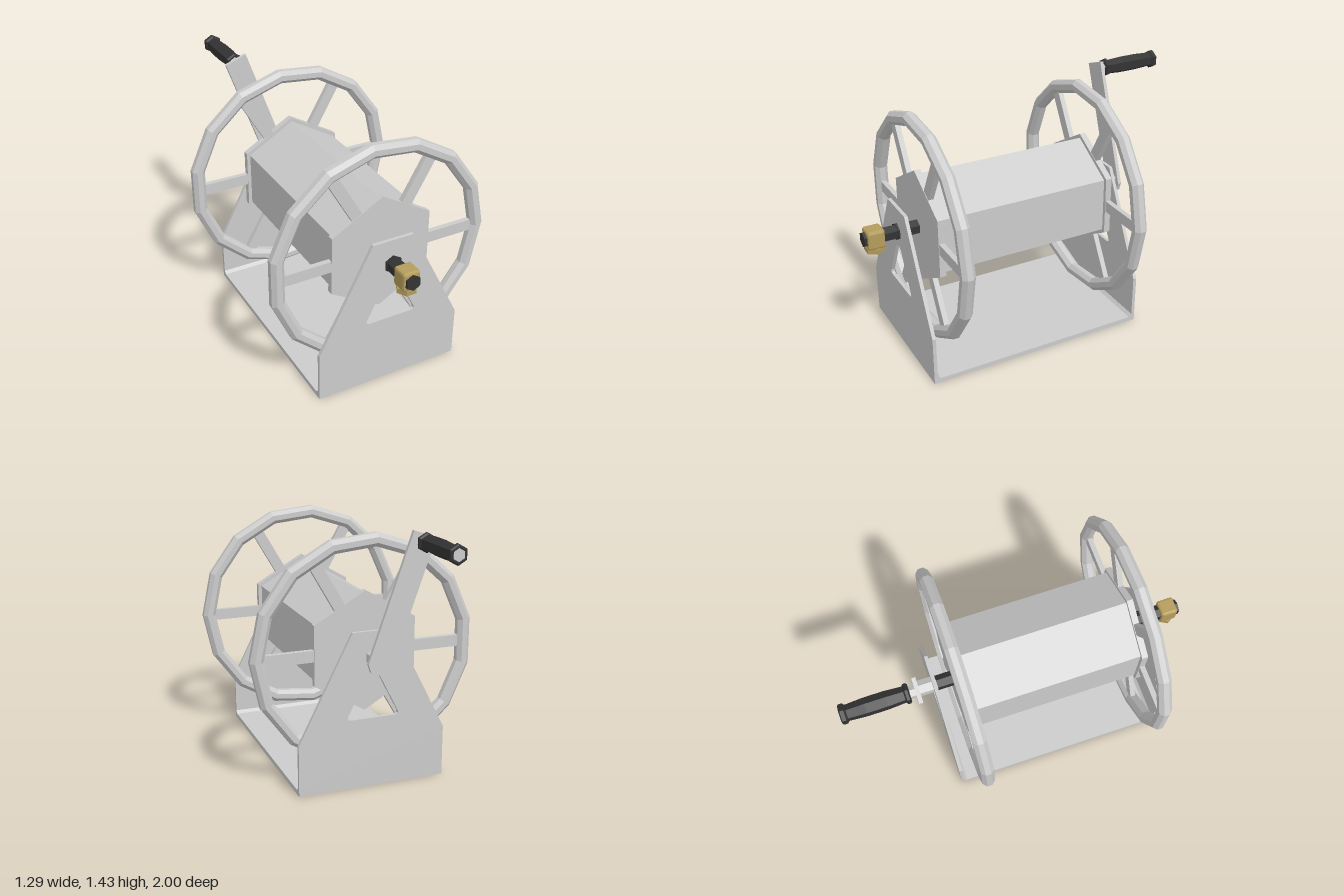
import * as THREE from 'three';
import { RoundedBoxGeometry } from 'three/addons/geometries/RoundedBoxGeometry.js';

const AXLE_Y = 0.745;
const material = (color) => new THREE.MeshStandardMaterial({ color, flatShading: true });
const grey = material(0xcccccc);
const dark = material(0x333333);
const brass = material(0xb59d5c);

function add(parent, name, geometry, mat = grey, x = 0, y = 0, z = 0) {
  const mesh = new THREE.Mesh(geometry, mat);
  mesh.name = name;
  mesh.position.set(x, y, z);
  parent.add(mesh);
  return mesh;
}

const shapeOf = (points) => new THREE.Shape(points.map(([x, y]) => new THREE.Vector2(x, y)));
const extrude = (shape, depth) => new THREE.ExtrudeGeometry(shape, { depth, bevelEnabled: false });

// Six-sided bar along z, one corner pointing up
function hexBar(parent, name, radius, z0, z1, mat = grey, x = 0, y = 0) {
  const geometry = new THREE.CylinderGeometry(radius, radius, z1 - z0, 6).rotateX(Math.PI / 2);
  return add(parent, name, geometry, mat, x, y, (z0 + z1) / 2);
}

// Rim with a chamfered section, hexagonal hub plate and six flat spokes
function createWheel(name, z) {
  const wheel = new THREE.Group();
  wheel.name = name;
  wheel.position.z = z;
  const section = [];
  for (let i = 0; i <= 8; i++) {
    const a = -(i + 0.5) * Math.PI / 4;
    section.push(new THREE.Vector2(0.613 + 0.041 * Math.cos(a), -0.041 * Math.sin(a)));
  }
  section.reverse();
  const rim = new THREE.LatheGeometry(section, 15, Math.PI / 2).rotateX(Math.PI / 2);
  const rimMaterial = grey.clone();
  rimMaterial.side = THREE.DoubleSide;
  add(wheel, 'rim', rim, rimMaterial);
  hexBar(wheel, 'hubPlate', 0.34, -0.018, 0.018);
  for (let i = 0; i < 6; i++) {
    const spoke = new THREE.BoxGeometry(0.3, 0.065, 0.03).translate(0.435, 0, 0);
    add(wheel, 'spoke', spoke).rotation.z = i * Math.PI / 3;
  }
  return wheel;
}

function createFrame() {
  const frame = new THREE.Group();
  frame.name = 'frame';
  // Floor with turned-up edges and chamfered inner corners
  const floor = shapeOf([
    [-0.505, 0], [0.8, 0], [0.8, 0.045], [0.78, 0.045],
    [0.763, 0.027], [-0.468, 0.027], [-0.485, 0.045], [-0.505, 0.045],
  ]);
  add(frame, 'floor', extrude(floor, 0.856).rotateY(-Math.PI / 2).translate(0.428, 0, 0));
  // Tapered end plates with a triangular window
  const plate = shapeOf([
    [-0.428, 0.045], [0.428, 0.045], [0.428, 0.29], [0.121, 0.89], [-0.121, 0.89], [-0.428, 0.29],
  ]);
  plate.holes.push(shapeOf([
    [-0.133, 0.4], [-0.147, 0.407], [-0.147, 0.422], [-0.035, 0.64], [-0.018, 0.655], [0, 0.66],
    [0.018, 0.655], [0.035, 0.64], [0.147, 0.422], [0.147, 0.407], [0.133, 0.4],
  ]));
  add(frame, 'frontPlate', extrude(plate, 0.02), grey, 0, 0, 0.78);
  add(frame, 'backPlate', extrude(plate, 0.02), grey, 0, 0, -0.505);
  return frame;
}

function createCrank() {
  const crank = new THREE.Group();
  crank.name = 'crank';
  hexBar(crank, 'crankShaft', 0.047, -0.6, -0.48);
  const arm = shapeOf([
    [-0.035, -0.07], [0.035, -0.07], [0.067, -0.03], [0.067, 0.705], [-0.067, 0.705], [-0.067, -0.03],
  ]);
  add(crank, 'crankArm', extrude(arm, 0.021), grey, 0, 0, -0.608).rotation.z = 0.342;
  // Grip: flanged, slightly swollen six-sided handle on a spindle
  const gx = -0.223, gy = 0.628;
  hexBar(crank, 'gripSpindle', 0.034, -0.65, -0.6, grey, gx, gy);
  const profile = [
    [0, 0], [0.045, 0], [0.054, 0.008], [0.054, 0.022], [0.043, 0.03], [0.049, 0.12],
    [0.049, 0.23], [0.043, 0.325], [0.054, 0.335], [0.054, 0.355], [0.047, 0.361], [0, 0.361],
  ].map(([r, h]) => new THREE.Vector2(r, h));
  const grip = new THREE.LatheGeometry(profile, 6).rotateX(-Math.PI / 2);
  add(crank, 'grip', grip, dark, gx, gy, -0.637);
  hexBar(crank, 'gripEndBolt', 0.034, -1, -0.98, grey, gx, gy);
  return crank;
}

export function createModel() {
  const model = new THREE.Group();
  model.name = 'hoseReel';
  model.position.x = -0.008;
  model.add(createFrame());

  // Everything that turns about the axle
  const reel = new THREE.Group();
  reel.name = 'reel';
  reel.position.y = AXLE_Y;
  model.add(reel);
  hexBar(reel, 'drum', 0.316, -0.37, 0.665);
  reel.add(createWheel('frontWheel', 0.665), createWheel('backWheel', -0.37));
  hexBar(reel, 'axle', 0.044, -0.49, 1, dark);
  hexBar(reel, 'axleCollar', 0.051, 0.795, 0.812, dark);
  reel.add(createCrank());

  // Brass inlet: chamfered block with a hexagonal nut beneath
  const inlet = new THREE.Group();
  inlet.name = 'inlet';
  inlet.position.set(0, AXLE_Y, 0.935);
  reel.parent.add(inlet);
  add(inlet, 'inletBlock', new RoundedBoxGeometry(0.1, 0.11, 0.1, 1, 0.014), brass);
  const nut = new THREE.CylinderGeometry(0.058, 0.058, 0.029, 6).rotateY(Math.PI / 6);
  add(inlet, 'inletNut', nut, brass, 0, -0.064, 0);
  return model;
}
